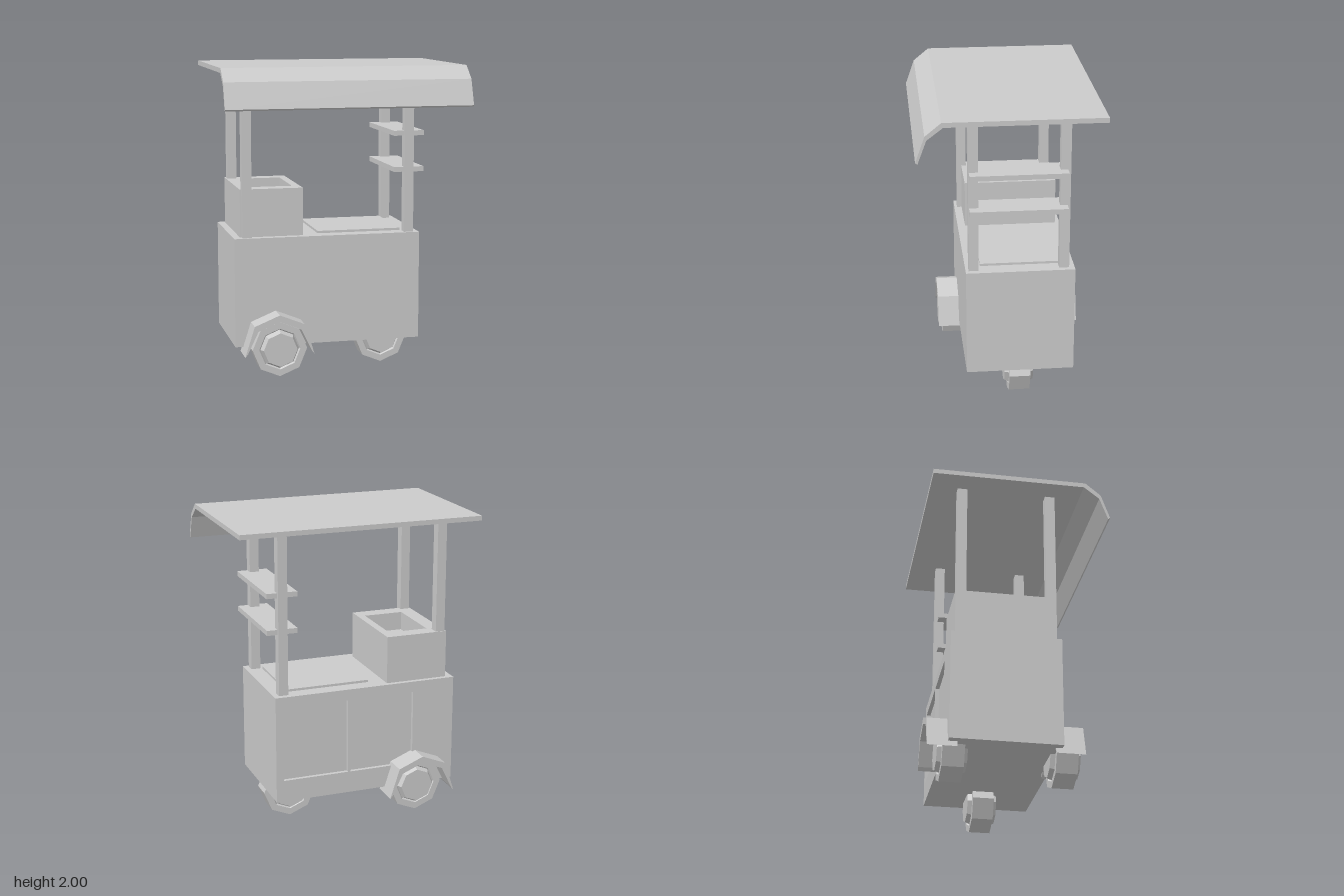
import * as THREE from 'three';

const material = new THREE.MeshStandardMaterial({ color: 0xcccccc, flatShading: true });

function add(parent, name, geometry) {
  const mesh = new THREE.Mesh(geometry, material);
  mesh.name = name;
  parent.add(mesh);
  return mesh;
}

// Box given by its minimum and maximum on each axis
function block(parent, name, [x0, x1], [y0, y1], [z0, z1]) {
  const mesh = add(parent, name, new THREE.BoxGeometry(x1 - x0, y1 - y0, z1 - z0));
  mesh.position.set((x0 + x1) / 2, (y0 + y1) / 2, (z0 + z1) / 2);
  return mesh;
}

const polygon = (points) => points.map(([x, y]) => new THREE.Vector2(x, y));
const rectangle = (x0, x1, y0, y1) => polygon([[x0, y0], [x1, y0], [x1, y1], [x0, y1]]);

function extrude(outline, depth, holes = []) {
  const shape = new THREE.Shape(outline);
  for (const hole of holes) shape.holes.push(new THREE.Path(hole));
  return new THREE.ExtrudeGeometry(shape, { depth, bevelEnabled: false });
}

// Eight-sided wheel with a raised hub on both faces
function wheel(parent, name, x, y, z) {
  const side = [[0.175, 0.067], [0.132, 0.067], [0.124, 0.055], [0.108, 0.093], [0, 0.093]];
  const lower = side.map(([r, h]) => [r, -h]).reverse();
  const geometry = new THREE.LatheGeometry(polygon([...lower, ...side]), 8);
  geometry.rotateX(Math.PI / 2);
  add(parent, name, geometry).position.set(x, y, z);
}

// Angular mudguard, thinning towards its lower ends
function fender(parent, name, x, z0, z1) {
  const outline = polygon([
    [-0.222, 0.195], [-0.205, 0.215], [-0.137, 0.357], [0, 0.413], [0.137, 0.357], [0.205, 0.215],
    [0.222, 0.195], [0.16, 0.39], [0, 0.455], [-0.16, 0.39],
  ]);
  add(parent, name, extrude(outline, z1 - z0)).position.set(x, 0, z0);
}

export function createModel() {
  const cart = new THREE.Group();
  cart.name = 'foodCart';

  // Cabinet, with a back frame around two sunken doors
  block(cart, 'cabinet', [-0.68, 0.525], [0.23, 0.925], [-0.4, 0.26]);
  const frame = extrude(rectangle(-0.68, 0.525, 0.23, 0.925), 0.025, [
    rectangle(-0.4, 0.028, 0.37, 0.855),
    rectangle(0.046, 0.475, 0.37, 0.855),
  ]);
  add(cart, 'cabinetDoorFrame', frame).position.z = -0.425;

  // Counter panel
  block(cart, 'counterPanel', [-0.125, 0.42], [0.925, 0.94], [-0.33, 0.165]);

  // Open bin on the counter: solid base and a hollow upper part
  block(cart, 'binBase', [-0.635, -0.23], [0.925, 1.11], [-0.395, 0.21]);
  const rim = extrude(rectangle(-0.635, -0.23, -0.395, 0.21), 0.12, [rectangle(-0.54, -0.28, -0.3, 0.11)]);
  rim.rotateX(Math.PI / 2);
  add(cart, 'binRim', rim).position.y = 1.23;

  // Roof posts
  for (const x of [-0.625, 0.43]) {
    for (const z of [-0.39, 0.178]) {
      block(cart, 'roofPost', [x, x + 0.06], [0.925, 1.975], [z, z + 0.063]);
    }
  }

  // Side shelves
  for (const y of [1.315, 1.547]) {
    block(cart, 'shelf', [0.36, 0.557], [y, y + 0.032], [-0.372, 0.235]);
  }

  // Flat roof with a folded front awning, drawn as (z, y)
  const roof = extrude(polygon([
    [-0.565, 1.97], [0.4, 1.97], [0.498, 1.895], [0.552, 1.75],
    [0.565, 1.76], [0.508, 1.92], [0.41, 2], [-0.565, 2],
  ]), 1.555);
  roof.translate(0, 0, -0.7775);
  roof.rotateY(-Math.PI / 2);
  add(cart, 'roof', roof);

  // Two large wheels with mudguards, and a single central wheel
  wheel(cart, 'frontWheel', -0.415, 0.23, 0.302);
  wheel(cart, 'backWheel', -0.415, 0.23, -0.383);
  wheel(cart, 'centreWheel', 0.345, 0.18, -0.082);
  fender(cart, 'frontFender', -0.42, 0.22, 0.4);
  fender(cart, 'backFender', -0.42, -0.55, -0.37);

  return cart;
}
